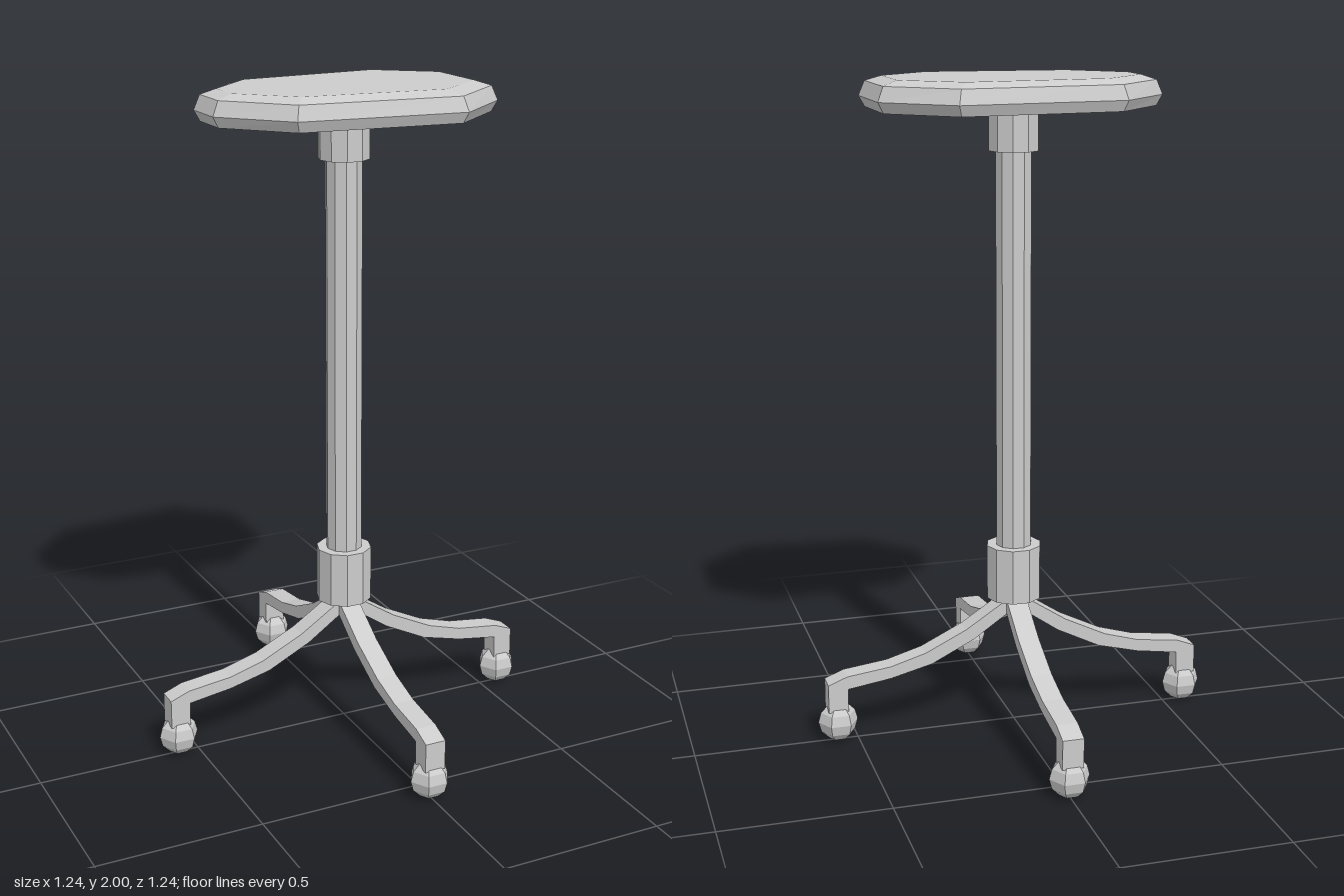
import * as THREE from 'three';

const material = new THREE.MeshStandardMaterial({ color: 0xcccccc, flatShading: true });

function part(name, geometry, parent) {
  const mesh = new THREE.Mesh(geometry, material);
  mesh.name = name;
  parent.add(mesh);
  return mesh;
}

// Ten-sided upright cylinder with corners on the x axis
function column(name, radius, bottom, top, parent) {
  const geometry = new THREE.CylinderGeometry(radius, radius, top - bottom, 10);
  geometry.rotateY(Math.PI / 2).translate(0, (bottom + top) / 2, 0);
  return part(name, geometry, parent);
}

// Eight-cornered pad: stacked scaled copies of one outline, capped at both ends
function seatGeometry() {
  const half = [[0.43, 0.135], [0.24, 0.302], [-0.262, 0.256], [-0.432, 0.072]];
  const outline = [...half, ...half.map(([x, z]) => [x, -z]).reverse()];
  const rings = [[1.91, 0.96, 0.95], [1.942, 1, 1], [1.985, 0.96, 0.945], [2, 0.855, 0.78]];
  const n = outline.length;
  const positions = [];
  const index = [];
  for (const [y, sx, sz] of rings) {
    for (const [x, z] of outline) positions.push(x * sx, y, z * sz);
  }
  for (let r = 0; r < rings.length - 1; r++) {
    for (let i = 0; i < n; i++) {
      const a = r * n + i, b = r * n + (i + 1) % n;
      index.push(a, a + n, b, b, a + n, b + n);
    }
  }
  const top = (rings.length - 1) * n;
  for (let i = 1; i < n - 1; i++) {
    index.push(0, i, i + 1);
    index.push(top, top + i + 1, top + i);
  }
  const geometry = new THREE.BufferGeometry();
  geometry.setAttribute('position', new THREE.Float32BufferAttribute(positions, 3));
  geometry.setIndex(index);
  geometry.computeVertexNormals();
  return geometry;
}

// Curved leg with a short post at its end, flat bar section
function legGeometry() {
  const profile = [
    [0, 0.42], [0.03, 0.41], [0.16, 0.325], [0.29, 0.262], [0.4, 0.23], [0.535, 0.213], [0.594, 0.19],
    [0.594, 0.1], [0.533, 0.1], [0.533, 0.172], [0.4, 0.192], [0.27, 0.225], [0.135, 0.292], [0, 0.385],
  ];
  const shape = new THREE.Shape(profile.map(([x, y]) => new THREE.Vector2(x, y)));
  return new THREE.ExtrudeGeometry(shape, { depth: 0.064, bevelEnabled: false }).translate(0, 0, -0.032);
}

export function createModel() {
  const model = new THREE.Group();
  model.name = 'stool';

  part('seat', seatGeometry(), model);
  column('upperCollar', 0.076, 1.785, 1.91, model);
  column('pole', 0.055, 0.5, 1.8, model);
  column('lowerCollar', 0.085, 0.41, 0.58, model);

  // Four legs, each on a faceted ball foot
  const leg = legGeometry();
  const ball = new THREE.SphereGeometry(0.061, 6, 6);
  ['left', 'back', 'right', 'front'].forEach((side, i) => {
    const angle = i * Math.PI / 2;
    const reach = i % 2 ? 0.569 : 0.561;
    const bar = part(side + 'Leg', leg, model);
    bar.rotation.y = angle;
    bar.scale.x = i % 2 ? 1.016 : 1;
    const foot = part(side + 'Foot', ball, model);
    foot.position.set(Math.cos(angle) * reach, 0.061, -Math.sin(angle) * reach);
  });
  return model;
}
